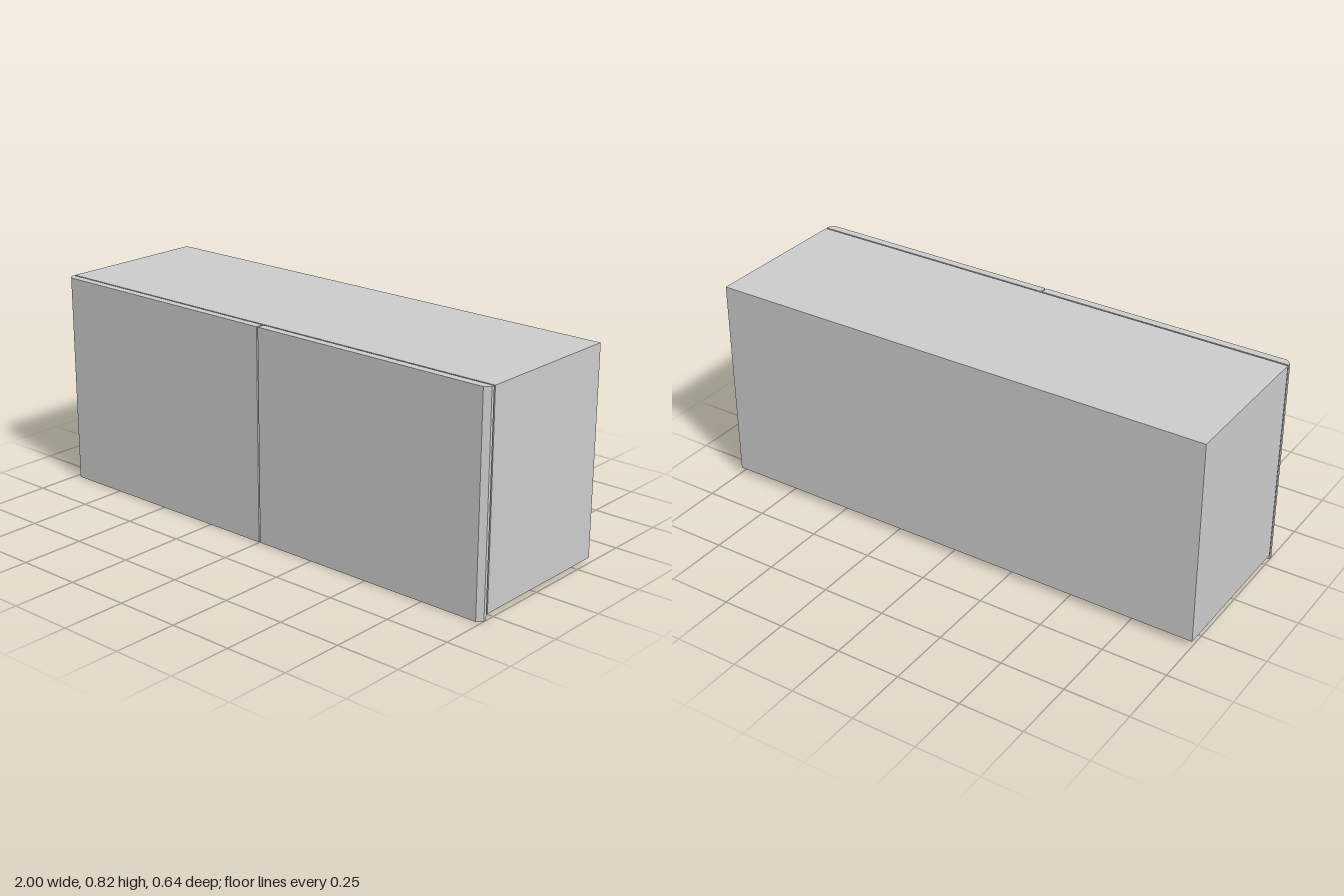
import * as THREE from 'three';

export function createModel() {
  const group = new THREE.Group();
  const material = new THREE.MeshStandardMaterial({ color: 0xcccccc });

  // Cabinet body
  const bottom = 0.022, top = 0.82, back = -0.32, front = 0.283;
  const body = new THREE.Mesh(new THREE.BoxGeometry(2, top - bottom, front - back), material);
  body.name = 'cabinetBody';
  body.position.set(0, (top + bottom) / 2, (front + back) / 2);
  group.add(body);

  // Door panels: plan outline with a bevelled outer front edge, extruded upward
  const gap = 0.003, doorBack = 0.289, bevelStart = 0.301, doorFront = 0.32;
  function addDoor(side, name) {
    const outline = [
      [gap, doorBack], [1, doorBack], [1, bevelStart], [0.98, doorFront], [gap, doorFront],
    ].map(([x, z]) => new THREE.Vector2(side * x, -z));
    const geometry = new THREE.ExtrudeGeometry(new THREE.Shape(outline), { depth: top, bevelEnabled: false });
    geometry.rotateX(-Math.PI / 2);
    const door = new THREE.Mesh(geometry, material);
    door.name = name;
    group.add(door);
  }
  addDoor(1, 'leftDoor');
  addDoor(-1, 'rightDoor');

  return group;
}
